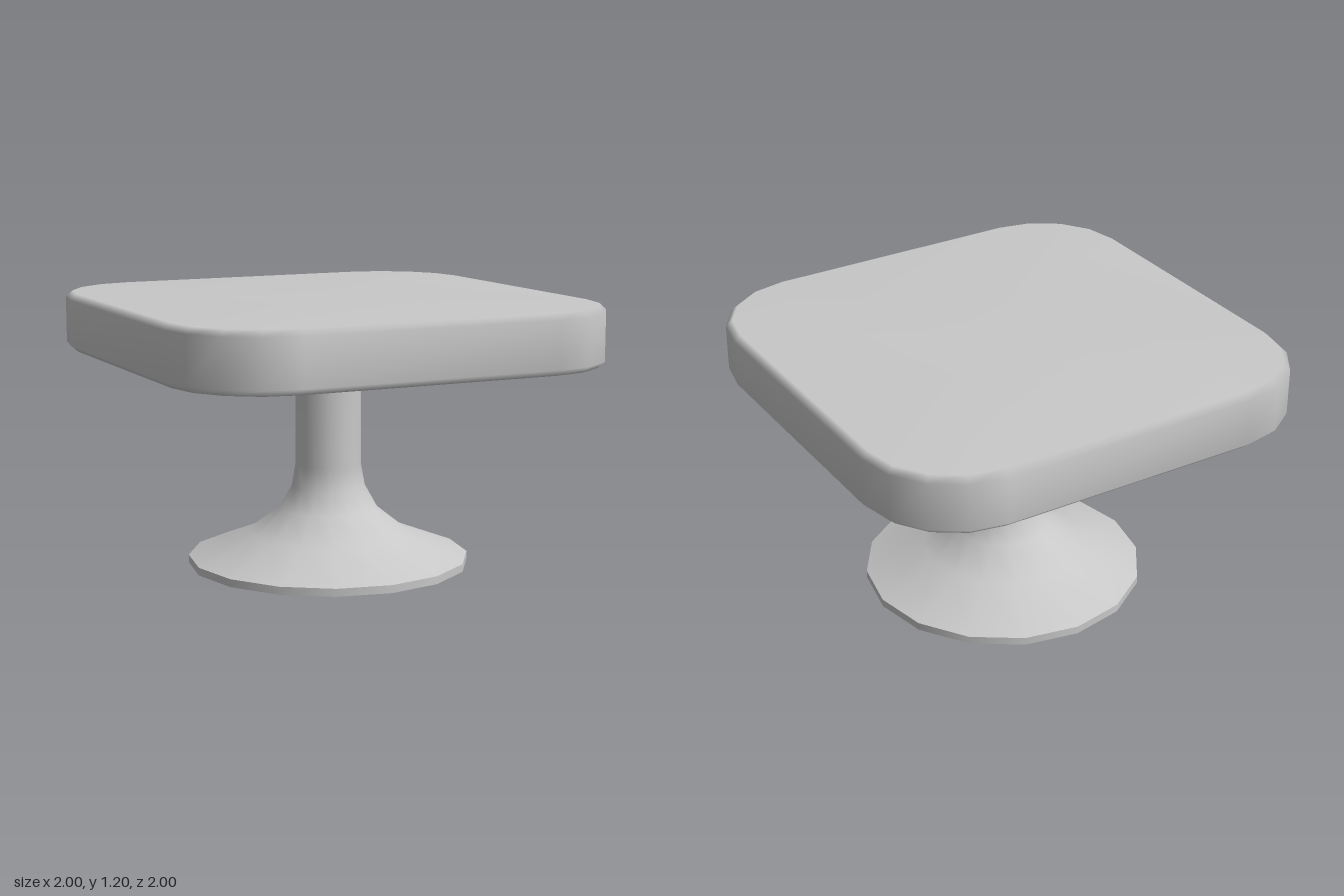
import * as THREE from 'three';

const grey = new THREE.MeshStandardMaterial({ color: 0xc8c8c8, side: THREE.DoubleSide });
grey.name = 'light grey';

// Rounded-square outline: four corner arcs around fixed centres
function outline(radius, centre = 0.58, steps = 4) {
  const points = [];
  for (let corner = 0; corner < 4; corner++) {
    const mid = (corner + 0.5) * Math.PI / 2;
    const cx = Math.sign(Math.cos(mid)) * centre;
    const cz = Math.sign(Math.sin(mid)) * centre;
    for (let s = 0; s <= steps; s++) {
      const a = (corner + s / steps) * Math.PI / 2;
      points.push([cx + Math.cos(a) * radius, cz + Math.sin(a) * radius]);
    }
  }
  return points;
}

// Hollow shell: stacked outlines closed at the top, open underneath
function shellGeometry(levels) {
  const positions = [], index = [];
  let n = 0;
  for (const [radius, y] of levels) {
    const ring = outline(radius);
    n = ring.length;
    for (const [x, z] of ring) positions.push(x, y, z);
  }
  for (let i = 0; i < levels.length - 1; i++) {
    for (let j = 0; j < n; j++) {
      const a = i * n + j, b = i * n + (j + 1) % n;
      index.push(a, a + n, b, b, a + n, b + n);
    }
  }
  const last = (levels.length - 1) * n, centre = levels.length * n;
  positions.push(0, levels[levels.length - 1][1], 0);
  for (let j = 0; j < n; j++) index.push(centre, last + (j + 1) % n, last + j);
  const geometry = new THREE.BufferGeometry();
  geometry.setAttribute('position', new THREE.Float32BufferAttribute(positions, 3));
  geometry.setIndex(index);
  geometry.computeVertexNormals();
  return geometry;
}

function lathe(profile) {
  return new THREE.LatheGeometry(profile.map(([r, y]) => new THREE.Vector2(r, y)), 16);
}

export function createModel() {
  const table = new THREE.Group();
  table.name = 'pedestalTable';
  const add = (name, geometry) => {
    const mesh = new THREE.Mesh(geometry, grey);
    mesh.name = name;
    table.add(mesh);
  };

  // Chamfered top, hollow below
  add('tableTop', shellGeometry([[0.39, 0.94], [0.42, 0.967], [0.42, 1.173], [0.39, 1.2]]));

  // Column flaring into the open foot
  add('pedestal', lathe([
    [0.63, 0.035], [0.36, 0.14], [0.22, 0.25], [0.165, 0.35], [0.147, 0.45], [0.147, 1.0],
  ]));

  // Upright edge of the foot
  add('footRim', lathe([[0.63, 0], [0.63, 0.035]]));

  return table;
}
